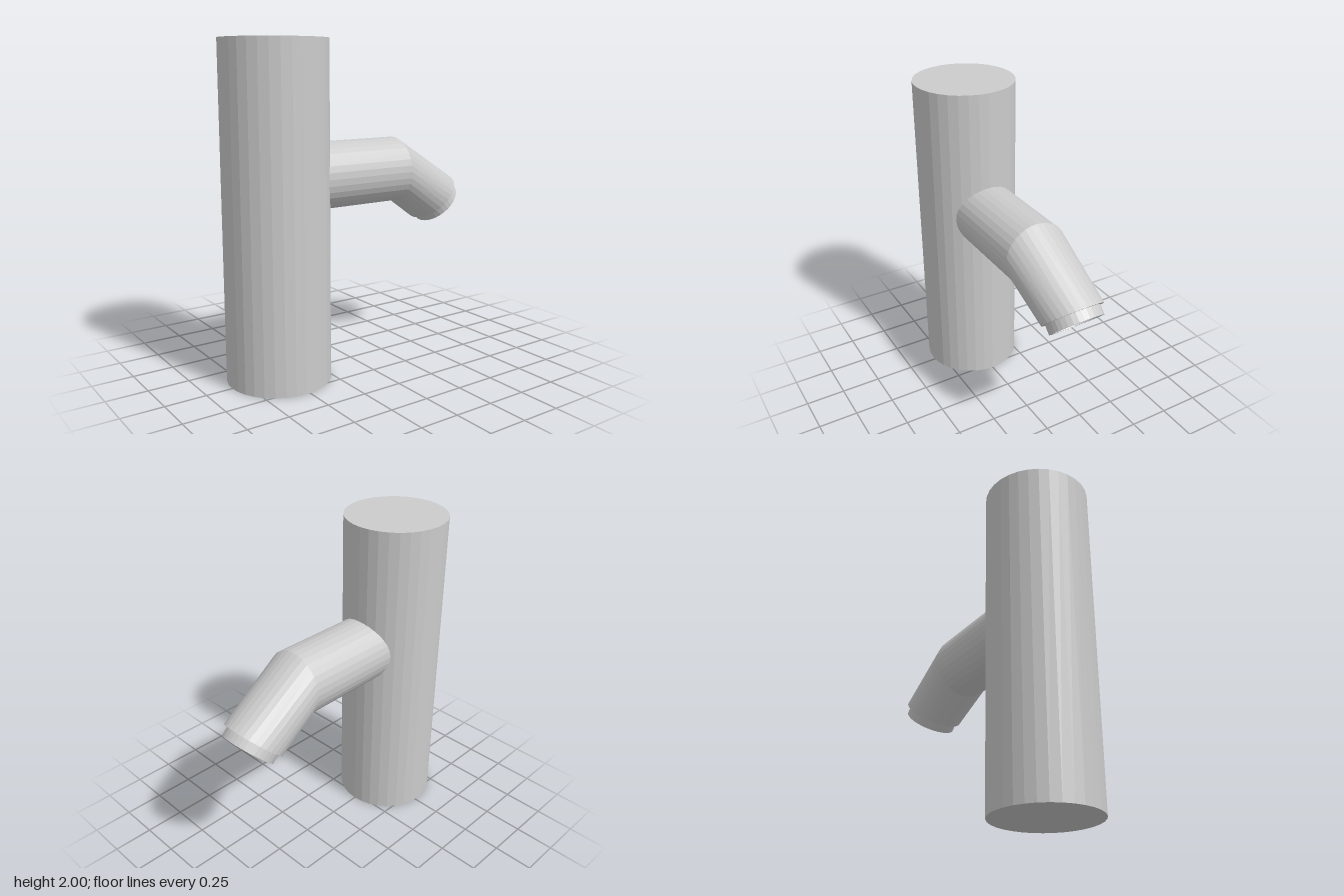
import * as THREE from 'three';

const SIDES = 32;
const material = new THREE.MeshStandardMaterial({ color: 0xcccccc, flatShading: true });

// Skin a run of circular rings; each ring is { c: centre, r: radius, tilt: downward angle of its axis }
function loftRings(rings) {
  const positions = [];
  const index = [];
  rings.forEach(({ c, r, tilt }, k) => {
    for (let i = 0; i < SIDES; i++) {
      const t = (i / SIDES) * Math.PI * 2;
      const up = r * Math.cos(t);
      positions.push(c[0] + up * Math.sin(tilt), c[1] + up * Math.cos(tilt), c[2] + r * Math.sin(t));
      if (k === rings.length - 1) continue;
      const a = k * SIDES + i;
      const b = k * SIDES + ((i + 1) % SIDES);
      index.push(a, b, a + SIDES, b, b + SIDES, a + SIDES);
    }
  });
  const geometry = new THREE.BufferGeometry();
  geometry.setAttribute('position', new THREE.Float32BufferAttribute(positions, 3));
  geometry.setIndex(index);
  const flat = geometry.toNonIndexed();
  flat.computeVertexNormals();
  return flat;
}

export function createModel() {
  const group = new THREE.Group();
  const add = (name, geometry) => {
    const mesh = new THREE.Mesh(geometry, material);
    mesh.name = name;
    group.add(mesh);
    return mesh;
  };

  // Upright solid column
  add('column', new THREE.CylinderGeometry(0.313, 0.313, 2, SIDES)).position.set(-0.525, 1, 0);

  // Bent branch pipe: outside, stepped lip, then back along the bore
  const tilt = 0.8;
  const root = [-0.4, 1.2, 0];
  const bend = [0.325, 1.2, 0];
  const shoulder = [0.67, 0.985, -0.025];
  const mouth = [0.714, 0.942, -0.025];
  add('spout', loftRings([
    { c: root, r: 0.203, tilt: 0 },
    { c: bend, r: 0.203, tilt: 0 },
    { c: shoulder, r: 0.188, tilt },
    { c: shoulder, r: 0.165, tilt },
    { c: mouth, r: 0.165, tilt },
    { c: mouth, r: 0.142, tilt },
    { c: shoulder, r: 0.142, tilt },
    { c: bend, r: 0.18, tilt: 0 },
    { c: root, r: 0.18, tilt: 0 },
  ]));

  return group;
}
